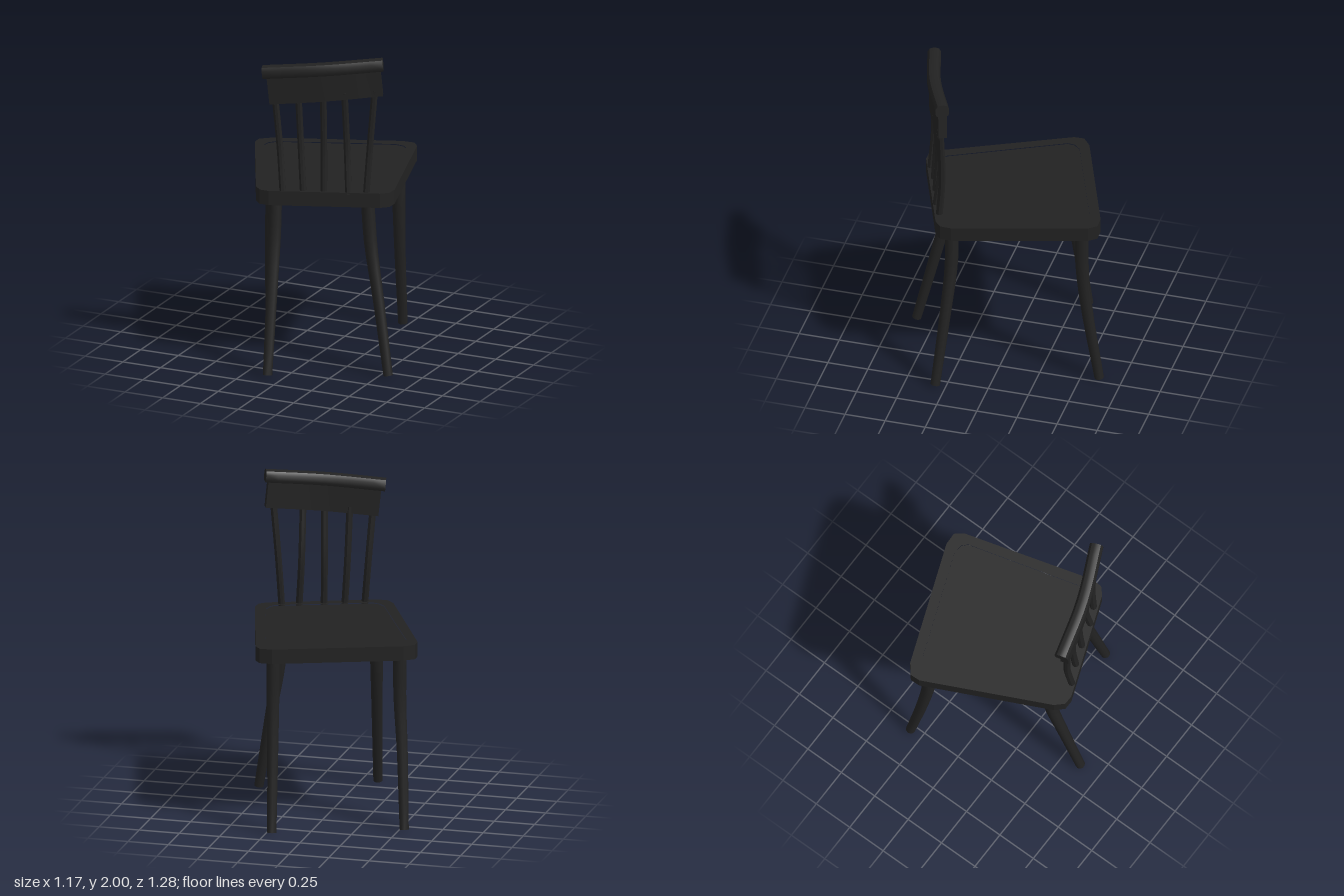
import * as THREE from 'three';
import { toCreasedNormals } from 'three/addons/utils/BufferGeometryUtils.js';

const blackPaint = new THREE.MeshStandardMaterial({ color: 0x222222 });
blackPaint.name = 'blackPaint';

// Sweep a convex section (counter-clockwise) along a path, with a taper and closed ends
function sweep(points, section, ref, steps, taper = () => 1) {
  const curve = new THREE.CatmullRomCurve3(points.map(p => new THREE.Vector3(...p)));
  const n = section.length, pos = [], idx = [];
  for (let i = 0; i <= steps; i++) {
    const k = i / steps, p = curve.getPoint(k), t = curve.getTangent(k);
    const a = ref.clone().cross(t).normalize(), b = t.clone().cross(a);
    for (const [u, v] of section) {
      const q = p.clone().addScaledVector(a, u * taper(k)).addScaledVector(b, v * taper(k));
      pos.push(q.x, q.y, q.z);
    }
  }
  for (let i = 0; i < steps; i++) for (let j = 0; j < n; j++) {
    const a = i * n + j, b = i * n + (j + 1) % n;
    idx.push(a, b, b + n, a, b + n, a + n);
  }
  const e = steps * n;
  for (let j = 1; j < n - 1; j++) idx.push(0, j + 1, j, e, e + j, e + j + 1);
  const g = new THREE.BufferGeometry();
  g.setAttribute('position', new THREE.Float32BufferAttribute(pos, 3));
  g.setIndex(idx);
  return toCreasedNormals(g, 0.7);
}

const circle = (r, n = 10) => Array.from({ length: n }, (_, i) => {
  const a = i / n * Math.PI * 2;
  return [Math.cos(a) * r, Math.sin(a) * r];
});

// Tapered seat outline with clipped corners, inset by d
function seatOutline(d) {
  const half = [[0.395 - d * 0.6, -0.503 + d], [0.468 - d, -0.478 + d], [0.488 - d, -0.42 + d * 0.7],
    [0.417 - d, 0.4 - d * 0.7], [0.39 - d, 0.463 - d], [0.335 - d * 0.6, 0.485 - d]];
  const all = [...half, ...half.map(([x, z]) => [-x, z]).reverse()];
  return all.map(([x, z]) => new THREE.Vector2(x, -z));
}

export function createModel() {
  const model = new THREE.Group();
  model.name = 'chair';
  const add = (name, geometry, parent = model) => {
    const m = new THREE.Mesh(geometry, blackPaint);
    m.name = name;
    parent.add(m);
    return m;
  };
  const Z = new THREE.Vector3(0, 0, 1), Y = new THREE.Vector3(0, 1, 0);

  // Seat: a rim around a slightly sunken panel, turned on the floor
  const seat = new THREE.Group();
  seat.name = 'seat';
  seat.rotation.y = 0.363;
  seat.position.set(0.019, 0, -0.007);
  model.add(seat);
  const slab = (shape, y0, y1) =>
    new THREE.ExtrudeGeometry(shape, { depth: y1 - y0, bevelEnabled: false }).rotateX(-Math.PI / 2).translate(0, y0, 0);
  const rim = new THREE.Shape(seatOutline(0));
  rim.holes.push(new THREE.Path(seatOutline(0.062)));
  add('seatRim', slab(rim, 1.065, 1.155), seat);
  add('seatPanel', slab(new THREE.Shape(seatOutline(0.062)), 1.072, 1.15), seat);

  // Legs: straight below the seat, then splaying to a thinner foot
  const legs = {
    frontRightLeg: [[-0.479, -0.238], [-0.479, -0.238], [-0.502, -0.267], [-0.532, -0.331]],
    frontLeftLeg: [[0.235, -0.508], [0.235, -0.51], [0.228, -0.54], [0.214, -0.61]],
    backLeftLeg: [[0.39, 0.26], [0.41, 0.256], [0.468, 0.276], [0.553, 0.315]],
    backRightLeg: [[-0.15, 0.408], [-0.146, 0.434], [-0.129, 0.505], [-0.103, 0.618]],
  };
  const legHeights = [1.09, 0.8, 0.48, 0.008];
  for (const [name, path] of Object.entries(legs)) {
    add(name, sweep(path.map(([x, z], i) => [x, legHeights[i], z]), circle(0.041), Z, 10,
      k => 1 - 0.3 * Math.max(0, (k - 0.25) / 0.75)));
  }

  // Back spindles: bottom, middle and top positions (x, z)
  const spindles = [
    [[-0.05, 0.516], [-0.077, 0.5], [-0.1, 0.52]],
    [[0.06, 0.463], [0.04, 0.452], [0.03, 0.468]],
    [[0.177, 0.42], [0.17, 0.405], [0.177, 0.43]],
    [[0.32, 0.378], [0.298, 0.352], [0.298, 0.388]],
    [[0.415, 0.33], [0.428, 0.308], [0.462, 0.31]],
  ];
  spindles.forEach((path, i) => add('spindle' + (i + 1),
    sweep(path.map(([x, z], j) => [x, [1.14, 1.42, 1.74 + i * 0.015][j], z]), circle(0.021, 8), Z, 8)));

  // Bowed, tilted top panel and its rounded cap
  add('backPanel', sweep([[-0.14, 1.778, 0.525], [0.185, 1.814, 0.428], [0.497, 1.849, 0.285]],
    [[0.026, -0.082], [0.026, 0.09], [-0.026, 0.09], [-0.026, -0.082]], Y, 10));
  add('backCap', sweep([[-0.176, 1.892, 0.529], [0.175, 1.929, 0.43], [0.505, 1.963, 0.285]],
    [[0.034, -0.036], [0.041, -0.02], [0.041, 0.012], [0.028, 0.032], [0.01, 0.037],
      [-0.01, 0.037], [-0.028, 0.032], [-0.041, 0.012], [-0.041, -0.02], [-0.034, -0.036]], Y, 10));
  return model;
}
